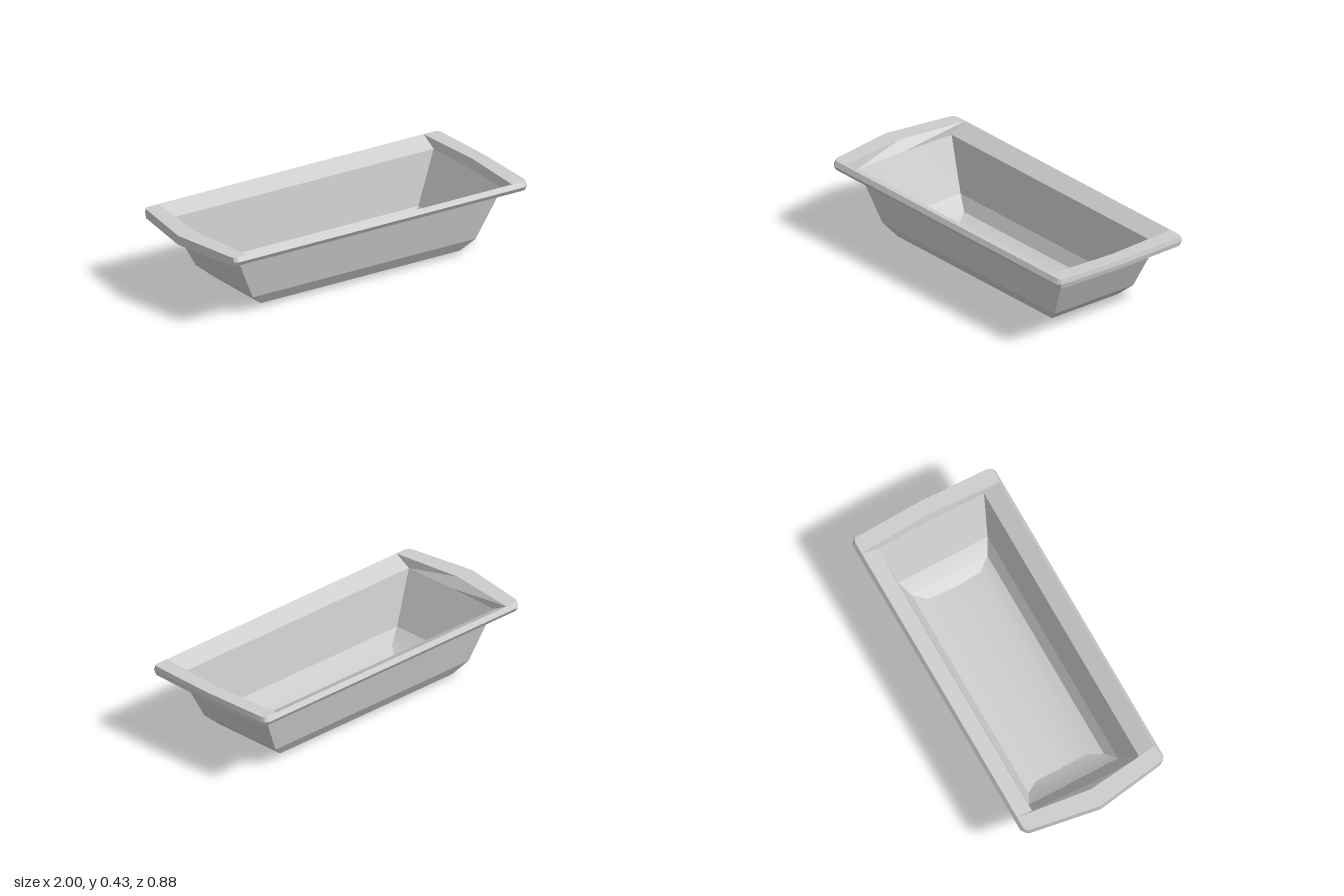
import * as THREE from 'three';
import { toCreasedNormals } from 'three/addons/utils/BufferGeometryUtils.js';

// Mirror a half outline (left middle -> front -> right middle) into a closed ring
function ring(half, y) {
  const back = half.slice(1, -1).reverse().map(([x, z]) => [x, -z]);
  return [...half, ...back].map(([x, z]) => new THREE.Vector3(x, y, z));
}

// Ring with plain corners: end corner x, end middle x, half width
function boxRing(y, left, leftMid, right, rightMid, z) {
  const l = [left, z], r = [right, z];
  return ring([[leftMid, 0], l, l, l, r, r, r, [rightMid, 0]], y);
}

// Ring following the rim outline with softened corners
function rimRing(y, inset) {
  const i = inset;
  return ring([
    [-1, 0], [-0.935, 0.4], [-0.925, 0.425 - i / 2], [-0.905, 0.44 - i],
    [0.96, 0.44 - i], [0.98 - i / 3, 0.425 - i / 2], [0.988 - i / 3, 0.4], [1 - i / 3, 0],
  ], y);
}

// Skin successive rings, optionally closing the first one with a floor
function loft(rings, floor) {
  const pos = [];
  const tri = (a, b, c) => {
    const area = b.clone().sub(a).cross(c.clone().sub(a)).length();
    if (area > 1e-7) for (const p of [a, b, c]) pos.push(p.x, p.y, p.z);
  };
  for (let k = 0; k + 1 < rings.length; k++) {
    const a = rings[k], b = rings[k + 1], n = a.length;
    for (let i = 0; i < n; i++) {
      const j = (i + 1) % n;
      tri(a[i], a[j], b[j]);
      tri(a[i], b[j], b[i]);
    }
  }
  if (floor) {
    const f = rings[0];
    for (let i = 1; i + 1 < f.length; i++) tri(f[0], f[i + 1], f[i]);
  }
  const geo = new THREE.BufferGeometry();
  geo.setAttribute('position', new THREE.Float32BufferAttribute(pos, 3));
  return toCreasedNormals(geo, 0.35);
}

export function createModel() {
  const enamel = new THREE.MeshStandardMaterial({ color: 0xcccccc, side: THREE.DoubleSide });
  enamel.name = 'light grey enamel';
  const group = new THREE.Group();
  group.name = 'bathtub';
  const add = (name, geo) => {
    const mesh = new THREE.Mesh(geo, enamel);
    mesh.name = name;
    group.add(mesh);
  };

  const wallTop = boxRing(0.375, -0.84, -0.845, 0.885, 0.89, 0.327);
  const opening = boxRing(0.427, -0.84, -0.89, 0.885, 0.91, 0.422);

  // Thin-walled basin with chamfered bottom
  add('basin', loft([
    boxRing(0, -0.57, -0.57, 0.62, 0.61, 0.16),
    boxRing(0.025, -0.62, -0.62, 0.675, 0.675, 0.232),
    boxRing(0.092, -0.7, -0.7, 0.75, 0.75, 0.274),
    wallTop,
  ], true));

  // Rim: flat underside, bevelled edge, flat ends and sloping inner sides
  add('rim', loft([
    wallTop, rimRing(0.375, 0.016), rimRing(0.401, 0), rimRing(0.427, 0.016), opening, wallTop,
  ], false));

  return group;
}
